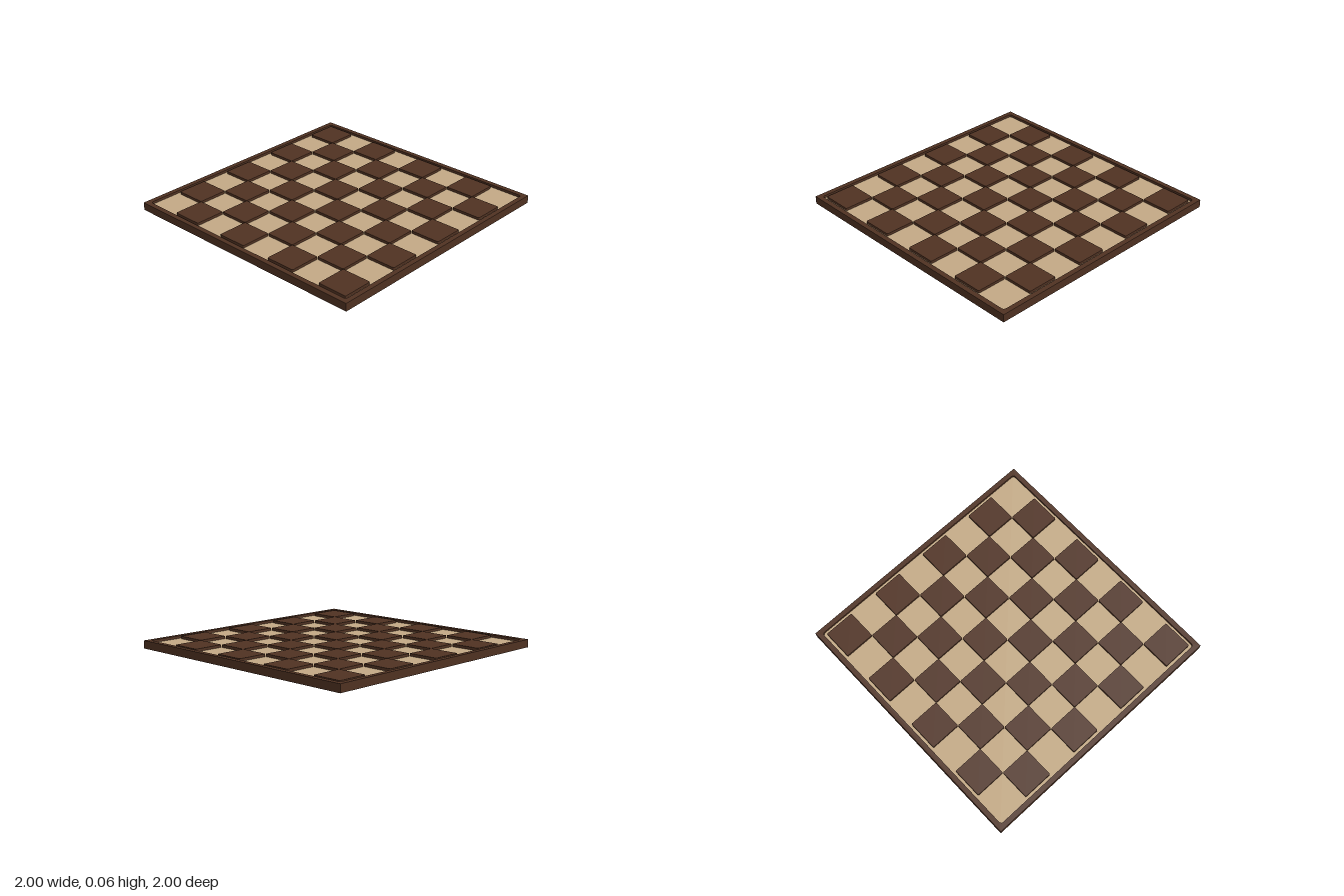
import * as THREE from 'three';

const HEIGHT = 0.06, FLOOR = 0.04, BASE = 0.032;
const INNER = 0.962; // half width of the recess
const GRID = 0.94;   // half width of the 8 x 8 field
const CELL = GRID / 4;

// Traces a square with rounded corners, centred on the origin
function roundedSquare(path, half, r) {
  path.moveTo(half, -half + r);
  path.lineTo(half, half - r);
  path.absarc(half - r, half - r, r, 0, Math.PI / 2);
  path.lineTo(-half + r, half);
  path.absarc(-half + r, half - r, r, Math.PI / 2, Math.PI);
  path.lineTo(-half, -half + r);
  path.absarc(-half + r, -half + r, r, Math.PI, Math.PI * 1.5);
  path.lineTo(half - r, -half);
  path.absarc(half - r, -half + r, r, Math.PI * 1.5, Math.PI * 2);
  return path;
}

// Extrudes a flat shape upward from y0 to y1
function slab(shape, y0, y1) {
  return new THREE.ExtrudeGeometry(shape, { depth: y1 - y0, bevelEnabled: false, curveSegments: 4 })
    .rotateX(-Math.PI / 2)
    .translate(0, y0, 0);
}

export function createModel() {
  const board = new THREE.Group();
  board.name = 'checkerboard';

  const darkWood = new THREE.MeshStandardMaterial({ color: 0x503222 });
  darkWood.name = 'dark wood';
  const lightWood = new THREE.MeshStandardMaterial({ color: 0xc3a985 });
  lightWood.name = 'light wood';

  const add = (name, geometry, material, parent = board) => {
    const mesh = new THREE.Mesh(geometry, material);
    mesh.name = name;
    parent.add(mesh);
    return mesh;
  };

  // Base slab
  add('base', new THREE.BoxGeometry(2, BASE, 2).translate(0, BASE / 2, 0), darkWood);

  // Raised rim around the recess
  const rim = new THREE.Shape([
    new THREE.Vector2(-1, -1), new THREE.Vector2(1, -1),
    new THREE.Vector2(1, 1), new THREE.Vector2(-1, 1),
  ]);
  rim.holes.push(roundedSquare(new THREE.Path(), INNER, 0.02));
  add('rim', slab(rim, BASE, HEIGHT), darkWood);

  // Light floor of the recess
  add('lightField', slab(roundedSquare(new THREE.Shape(), INNER, 0.02), BASE, FLOOR), lightWood);

  // Raised dark squares
  const squares = new THREE.Group();
  squares.name = 'darkSquares';
  board.add(squares);
  const tile = slab(roundedSquare(new THREE.Shape(), CELL / 2, 0.008), FLOOR, HEIGHT);
  for (let row = 0; row < 8; row++) {
    for (let col = row % 2; col < 8; col += 2) {
      add('darkSquare', tile, darkWood, squares)
        .position.set((col - 3.5) * CELL, 0, (row - 3.5) * CELL);
    }
  }
  return board;
}
